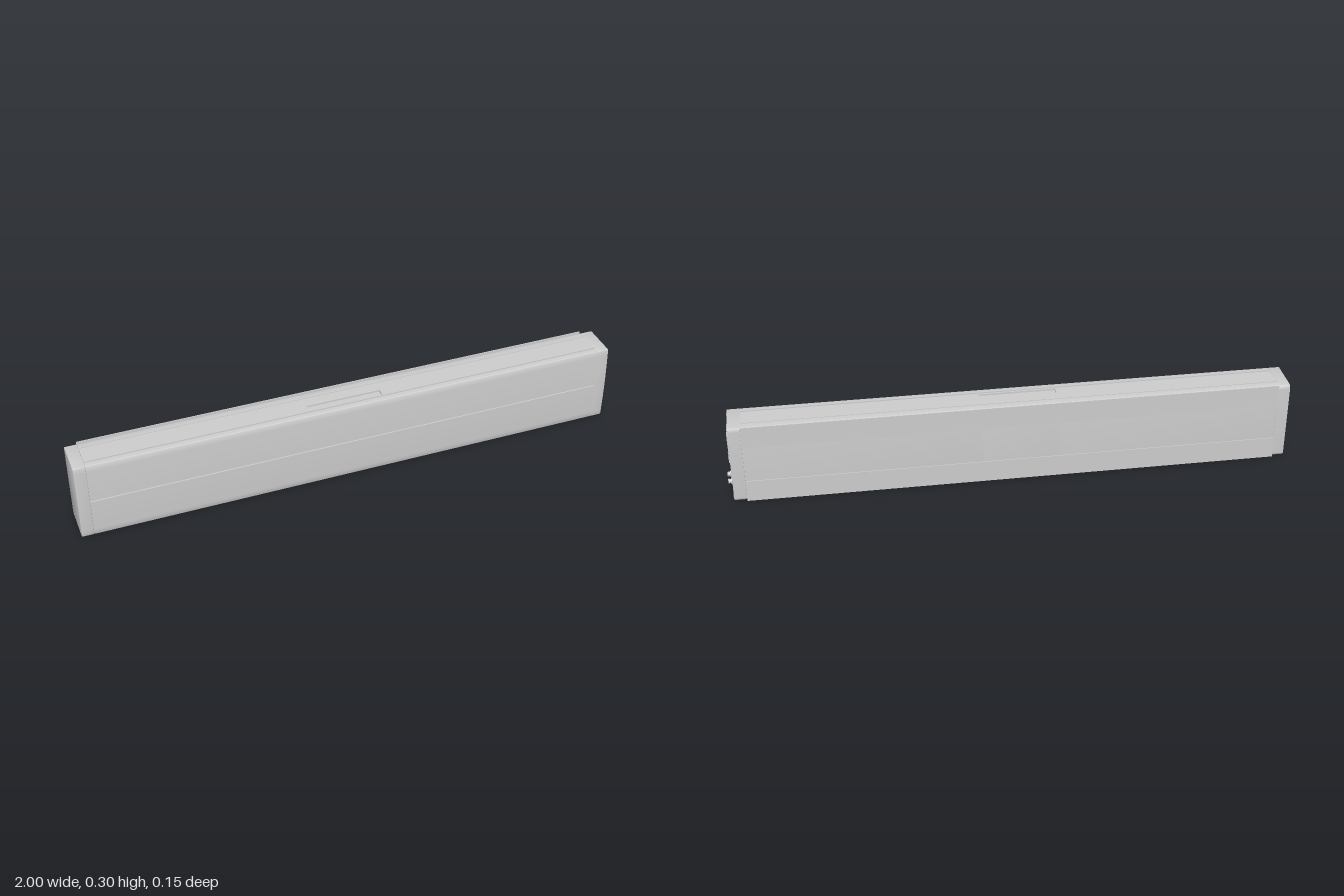
import * as THREE from 'three';
import { toCreasedNormals } from 'three/addons/utils/BufferGeometryUtils.js';
import { RoundedBoxGeometry } from 'three/addons/geometries/RoundedBoxGeometry.js';

const grey = new THREE.MeshStandardMaterial({ color: 0xcccccc });
const LEFT = 0.985;                       // x of the connector face
const TOP = 0.296, BOT = 0.002, BACK = -0.07, FRONT = 0.069;

function add(parent, name, geo, x = 0, y = 0, z = 0) {
  const m = new THREE.Mesh(geo, grey);
  m.name = name;
  m.position.set(x, y, z);
  parent.add(m);
  return m;
}

// Cross-section with a bowed front; shape x is -z. Dents are [z start, z end, depth].
function section(topDents, bottomDents, slot) {
  const s = new THREE.Shape(), r = 0.005, R = 0.015;
  const to = (z, y) => s.lineTo(-z, y);
  s.moveTo(-(FRONT - r), TOP);
  for (const [a, b, d] of topDents) { to(a, TOP); to(a, TOP - d); to(b, TOP - d); to(b, TOP); }
  to(BACK + R, TOP);
  s.quadraticCurveTo(-BACK, TOP, -BACK, TOP - R);
  to(BACK, BOT + R);
  s.quadraticCurveTo(-BACK, BOT, -(BACK + R), BOT);
  for (const [a, b, d] of [...bottomDents].reverse()) { to(b, BOT); to(b, BOT + d); to(a, BOT + d); to(a, BOT); }
  to(FRONT - r, BOT);
  s.quadraticCurveTo(-FRONT, BOT, -FRONT, BOT + r);
  const mid = (TOP + BOT) / 2, half = mid - BOT - r;
  const bow = y => FRONT + 0.004 * (1 - ((y - mid) / half) ** 2);
  for (let i = 1; i <= 8; i++) { const y = mid - half + (half - 0.002) * i / 8; to(bow(y), y); }
  if (slot) { to(0.068, mid - 0.002); to(0.068, mid + 0.002); }
  for (let i = 0; i <= 8; i++) { const y = mid + 0.002 + (half - 0.002) * i / 8; to(bow(y), y); }
  s.quadraticCurveTo(-FRONT, TOP, -(FRONT - r), TOP);
  return s;
}

function run(parent, name, shape, x0, x1, bevel = 0) {
  const geo = new THREE.ExtrudeGeometry(shape, {
    depth: x1 - x0 - 2 * bevel, bevelEnabled: bevel > 0, bevelSize: bevel, bevelOffset: -bevel,
    bevelThickness: bevel, bevelSegments: 2, curveSegments: 6
  });
  geo.rotateY(Math.PI / 2);
  add(parent, name, toCreasedNormals(geo, 0.6), x0 + bevel);
}

// Flat frame on the connector face, open in the middle
function frame(parent, name, y, z, h, d, rim, t) {
  const s = new THREE.Shape(), hole = new THREE.Path();
  const rect = (p, a, b) => p.moveTo(-a, -b).lineTo(a, -b).lineTo(a, b).lineTo(-a, b).closePath();
  rect(s, d / 2, h / 2);
  rect(hole, d / 2 - rim, h / 2 - rim);
  s.holes.push(hole);
  const geo = new THREE.ExtrudeGeometry(s, { depth: t, bevelEnabled: false });
  geo.rotateY(Math.PI / 2);
  add(parent, name, geo, LEFT, y, z);
}

// Turned part whose axis points along +x; profile is [radius, distance]
function turned(parent, name, profile, x, y, z, dir = 1) {
  const geo = new THREE.LatheGeometry(profile.map(p => new THREE.Vector2(...p)), 20);
  geo.rotateZ(-dir * Math.PI / 2);
  add(parent, name, toCreasedNormals(geo, 0.6), x, y, z);
}

const screwProfile = [[0.0065, 0], [0.0065, 0.001], [0.005, 0.002], [0.0035, 0.002], [0.003, 0.0008], [0, 0.0008]];
const block = (g, name, y, z, h, d, t) => add(g, name, new THREE.BoxGeometry(t, h, d), LEFT + t / 2, y, z);

// Trapezoid shell connector with two rows of contacts
function dataPort(parent, name, y, z, h, plateH, d, pins) {
  const g = new THREE.Group();
  g.name = name;
  parent.add(g);
  block(g, 'portPlate', y, z, plateH, d, 0.0015);
  const s = new THREE.Shape();
  const a = d * 0.36, b = h / 2;
  s.moveTo(-a, -b + 0.004).lineTo(a, -b).lineTo(a, b).lineTo(-a, b - 0.004).closePath();
  const geo = new THREE.ExtrudeGeometry(s, { depth: 0.005, bevelEnabled: false });
  geo.rotateY(Math.PI / 2);
  add(g, 'portShell', geo, LEFT, y, z);
  for (const row of [-1, 1])
    for (let i = 0; i < pins; i++)
      add(g, 'contact', new THREE.BoxGeometry(0.001, 0.0018, 0.0018), LEFT + 0.0055,
        y + (h - 0.012) * (i / (pins - 1) - 0.5), z + row * d * 0.16);
  for (const e of [-1, 1]) {
    const geo2 = new THREE.CylinderGeometry(0.0032, 0.0032, 0.006, 6);
    geo2.rotateZ(Math.PI / 2);
    add(g, 'jackPost', geo2, LEFT + 0.003, y + e * (plateH / 2 - 0.0035), z);
  }
}

export function createModel() {
  const root = new THREE.Group();
  root.name = 'barHousing';

  // Long housing with lengthwise grooves, a recess in the top and plain end caps
  const top = [[0.048, 0.041, 0.004]];
  const bottom = [[0.048, 0.041, 0.004], [0.022, 0.016, 0.004], [-0.012, -0.018, 0.004]];
  const rear = [[-0.035, -0.038, 0.002]];
  const plain = section([...top, ...rear], [...bottom, ...rear], true);
  const recessed = section([...top, [0.035, 0.008, 0.006], ...rear], [...bottom, ...rear], true);
  run(root, 'housingRight', plain, -0.957, -0.165);
  run(root, 'housingRecess', recessed, -0.165, 0.107);
  run(root, 'housingLeft', plain, 0.107, 0.94);
  run(root, 'endCapRight', section([], []), -1, -0.957, 0.002);
  run(root, 'endCapLeft', section([], []), 0.94, LEFT, 0.002);

  // Two mounting plates on the back, with fasteners along their inner edges
  for (const y of [0.258, 0.042])
    add(root, 'backPlate', new THREE.BoxGeometry(1.897, 0.08, 0.003), -0.0085, y, -0.0715);
  const along = [0.87, 0.8, 0.74, 0.59, 0.52, 0.44, 0.29, 0, -0.04, -0.13, -0.33, -0.46, -0.5, -0.81, -0.88, -0.92];
  for (const x of along)
    for (const y of [0.224, 0.077]) {
      const geo = new THREE.CylinderGeometry(0.004, 0.004, 0.001, 10);
      geo.rotateX(Math.PI / 2);
      add(root, 'backFastener', geo, x, y, -0.0731);
    }

  // Small marks at the right end of the front
  for (const [y, h] of [[0.22, 0.006], [0.149, 0.075], [0.08, 0.006]])
    add(root, 'frontMark', new THREE.BoxGeometry(0.004, h, 0.002), -0.965, y, 0.0718);

  // Corner screws on both ends
  for (const y of [0.284, 0.014])
    for (const z of [0.053, -0.048]) {
      turned(root, 'endScrew', screwProfile, LEFT, y, z);
      turned(root, 'endScrew', screwProfile.map(([r, h]) => [r * 0.7, h * 0.2]), -1, y, z, -1);
    }

  // Connector panel
  const panel = new THREE.Group();
  panel.name = 'connectorPanel';
  root.add(panel);

  // Power switch
  frame(panel, 'switchFrame', 0.233, 0.03, 0.024, 0.032, 0.003, 0.003);
  const rocker = add(panel, 'switchRocker', new RoundedBoxGeometry(0.006, 0.017, 0.025, 2, 0.001), LEFT + 0.001, 0.233, 0.03);
  rocker.rotation.y = 0.08;

  // Power inlet with three blades and a fuse drawer
  frame(panel, 'inletFrame', 0.2325, -0.0195, 0.044, 0.048, 0.004, 0.004);
  frame(panel, 'inletSocket', 0.2325, -0.012, 0.036, 0.026, 0.002, 0.003);
  block(panel, 'fuseDrawer', 0.2325, -0.033, 0.034, 0.013, 0.003);
  for (const [y, z] of [[0.242, -0.006], [0.223, -0.006], [0.2325, -0.017]])
    block(panel, 'inletBlade', y, z, 0.002, 0.005, 0.003);

  // Network jack on its plate
  block(panel, 'networkPlate', 0.1595, 0.032, 0.027, 0.05, 0.0015);
  frame(panel, 'networkJack', 0.16, 0.03, 0.02, 0.023, 0.003, 0.004);
  block(panel, 'networkLatch', 0.152, 0.03, 0.004, 0.008, 0.0035);
  for (let i = 0; i < 6; i++) block(panel, 'networkContact', 0.165, 0.023 + i * 0.0028, 0.004, 0.001, 0.003);
  for (const z of [0.052, 0.011])
    turned(panel, 'networkScrew', screwProfile.map(([r, h]) => [r * 0.5, h]), LEFT + 0.001, 0.16, z);

  // Wide and narrow data ports
  dataPort(panel, 'wideDataPort', 0.162, -0.004, 0.056, 0.074, 0.013, 12);
  dataPort(panel, 'narrowDataPort', 0.161, -0.034, 0.025, 0.042, 0.016, 4);

  // Round coaxial sockets
  const coax = [[0.0115, 0], [0.0115, 0.005], [0.009, 0.006], [0.0075, 0.006], [0.0075, 0.015],
    [0.0055, 0.015], [0.0055, 0.007], [0.0025, 0.007], [0.0025, 0.012], [0, 0.012]];
  for (const y of [0.096, 0.066]) {
    turned(panel, 'coaxSocket', coax, LEFT, y, -0.035);
    for (const e of [-1, 1])
      add(panel, 'coaxLug', new THREE.BoxGeometry(0.003, 0.003, 0.003), LEFT + 0.0115, y + e * 0.008, -0.035);
  }
  return root;
}
